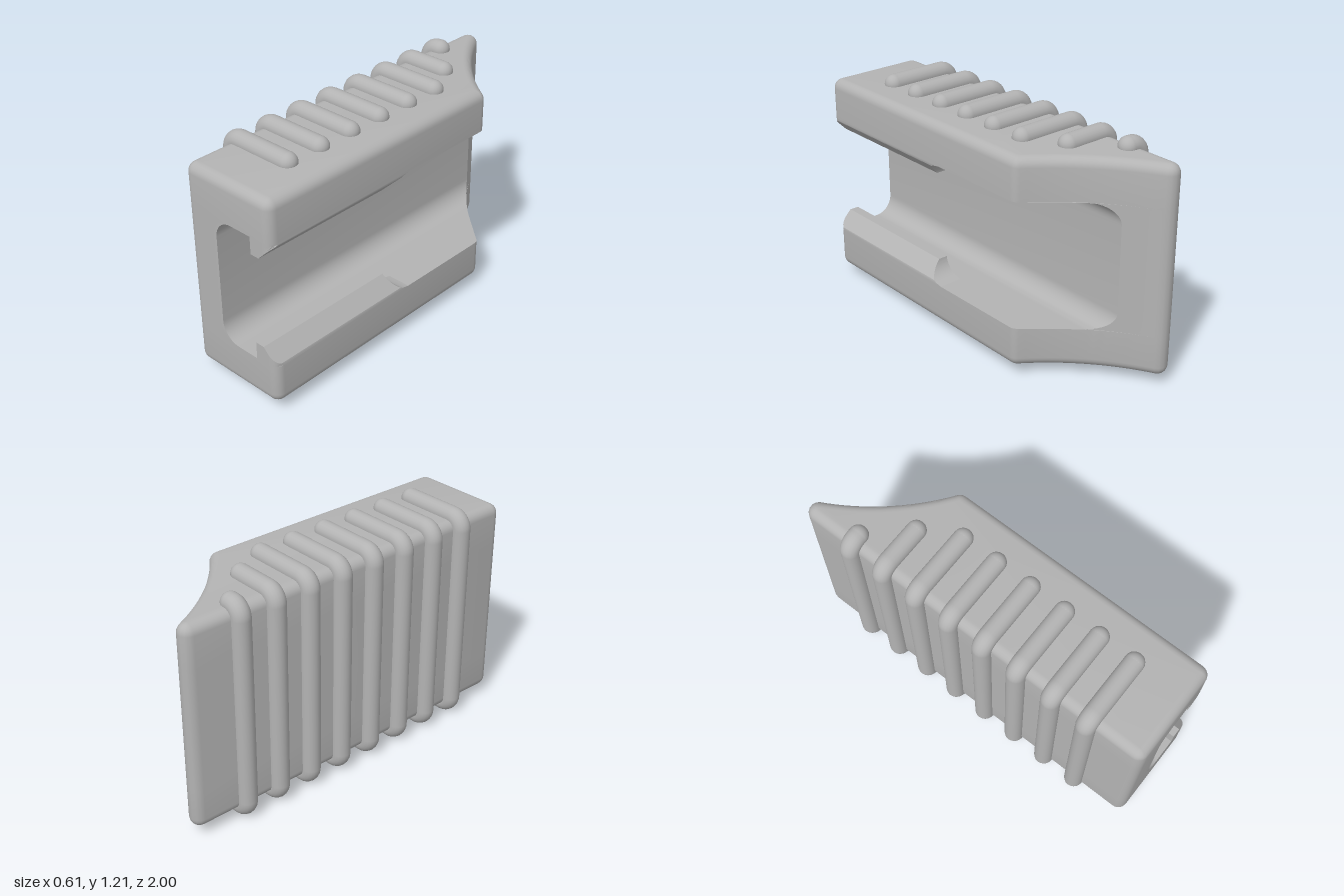
import * as THREE from 'three';
import { mergeGeometries, toCreasedNormals } from 'three/addons/utils/BufferGeometryUtils.js';

const MID = 0.605;                 // height of the mirror plane
const EDGE = 0.05;                 // rounding of the outer edges
const N = 6;                       // segments per rounded corner
const HALF_PI = Math.PI / 2;

// Concave cut in plan: a large circle touching the rounded tip
const CX = 1.06, CZ = -1.61;
const TIP = [-0.2, -0.95];
const R = Math.hypot(CX - TIP[0], CZ - TIP[1]) - EDGE;
const cornerZ = CZ + Math.sqrt((R + EDGE) ** 2 - (CX - 0.25) ** 2);

// Plan outline in [x, z], inset by d; cutX trims it to the channel floor
function planRing(d, cutX) {
  const pts = [];
  const arc = (x, z, r, a0, a1, n = N) => {
    for (let i = 0; i <= n; i++) {
      const a = a0 + (a1 - a0) * i / n;
      pts.push([x + r * Math.cos(a), z + r * Math.sin(a)]);
    }
  };
  const r = EDGE - d;
  const tipAngle = Math.atan2(CZ - TIP[1], CX - TIP[0]);
  const backAngle = Math.atan2(CZ - cornerZ, CX - 0.25);
  arc(TIP[0], TIP[1], r, tipAngle, -Math.PI);
  arc(-0.2, 0.95, r, Math.PI, HALF_PI);
  let start = backAngle + Math.PI;
  if (cutX === undefined) {
    arc(0.25, 0.95, r, HALF_PI, 0);
    arc(0.25, cornerZ, r, 0, backAngle);
  } else {
    start = Math.acos((cutX - CX) / R);
    arc(cutX, 1, 0, 0, 0);
    arc(cutX, CZ + R * Math.sin(start), 0, 0, 0);
  }
  arc(CX, CZ, R + d, start, tipAngle + Math.PI, 20);
  return pts;
}

// Skin between stacked rings {y, pts}, capped with fans from point "hub"
function loft(rings, hub) {
  const pos = [];
  const n = rings[0].pts.length;
  const put = (k, i) => {
    const p = rings[k].pts[i % n];
    pos.push(p[0], rings[k].y, p[1]);
  };
  for (let k = 0; k < rings.length - 1; k++) {
    for (let i = 0; i < n; i++) {
      put(k, i); put(k, i + 1); put(k + 1, i + 1);
      put(k, i); put(k + 1, i + 1); put(k + 1, i);
    }
  }
  const last = rings.length - 1;
  for (let i = 1; i < n - 1; i++) {
    put(last, hub); put(last, hub + i); put(last, hub + i + 1);
    put(0, hub); put(0, hub + i + 1); put(0, hub + i);
  }
  const g = new THREE.BufferGeometry();
  g.setAttribute('position', new THREE.Float32BufferAttribute(pos, 3));
  return toCreasedNormals(g, 0.5);
}

const mirrorRings = (rings) => rings.map(({ y, pts }) => ({ y: 2 * MID - y, pts })).reverse();

// Channel body: rounded bottom edge, jaw, then channel fillet, mirrored upwards
function bodyGeometry() {
  const half = [];
  for (let i = 0; i <= N; i++) {
    const a = HALF_PI * i / N;
    half.push({ y: 0.055 + EDGE * (1 - Math.cos(a)), pts: planRing(EDGE * (1 - Math.sin(a))) });
  }
  half.push({ y: 0.272, pts: planRing(0) });
  for (let i = 0; i <= 10; i++) {
    const a = HALF_PI * i / 10;
    half.push({ y: 0.272 + 0.1 * (1 - Math.cos(a)), pts: planRing(0, 0.045 - 0.1 * Math.sin(a)) });
  }
  return loft([...half, ...mirrorRings(half)], N + 1);
}

// Upper retaining lip: chamfered on the outside, scooped at its rear end
function lipRings() {
  const rings = [];
  for (let k = 0; k <= 12; k++) {
    const y = 0.847 + 0.091 * k / 12;
    const right = Math.min(0.3, 0.222 + (y - 0.847));
    const rear = 0.09 + Math.sqrt(Math.max(0, 0.11 ** 2 - (y - 0.828) ** 2));
    const pts = [[0.172, 1]];
    for (let i = 0; i <= 8; i++) {
      const x = 0.215 + (right - 0.215) * i / 8;
      const over = Math.max(0, x - 0.25);
      pts.push([x, 0.95 + Math.sqrt(Math.max(0, EDGE ** 2 - over ** 2))]);
    }
    pts.push([right, rear], [0.172, rear]);
    rings.push({ y, pts });
  }
  return rings;
}

// Grip rib: a round bar wrapping over the top, back and bottom
function ribGeometry(endX) {
  const r = 0.05, bend = 0.055, x0 = -0.255, y0 = 0.05, y1 = 1.16;
  const parts = [];
  const tall = y1 - y0 - 2 * bend;
  parts.push(new THREE.CylinderGeometry(r, r, tall, 20, 1, true).translate(x0, MID, 0));
  for (const [y, s] of [[y1, 1], [y0, -1]]) {
    const from = x0 + bend;
    parts.push(new THREE.TorusGeometry(bend, r, 20, 8, HALF_PI)
      .rotateZ(s > 0 ? HALF_PI : Math.PI).translate(from, y - s * bend, 0));
    parts.push(new THREE.CylinderGeometry(r, r, endX - from, 20, 1, true)
      .rotateZ(HALF_PI).translate((from + endX) / 2, y, 0));
    parts.push(new THREE.SphereGeometry(r, 20, 14).translate(endX, y, 0));
  }
  return mergeGeometries(parts);
}

export function createModel() {
  const group = new THREE.Group();
  group.name = 'grippedChannelClip';
  const grey = new THREE.MeshStandardMaterial({ color: 0xb3b3b3 });
  grey.name = 'grey';
  const add = (name, geometry) => {
    const mesh = new THREE.Mesh(geometry, grey);
    mesh.name = name;
    group.add(mesh);
    return mesh;
  };

  add('channelBody', bodyGeometry());
  const lip = lipRings();
  add('upperLip', loft(lip, 0));
  add('lowerLip', loft(mirrorRings(lip), 0));

  // Eight ribs; the two rearmost are shortened by the concave cut
  const ends = [0.105, 0.105, 0.105, 0.105, 0.105, 0.105, 0, -0.188];
  ends.forEach((endX, i) => {
    add('gripRib' + (i + 1), ribGeometry(endX)).position.z = 0.697 - 0.2 * i;
  });
  return group;
}
